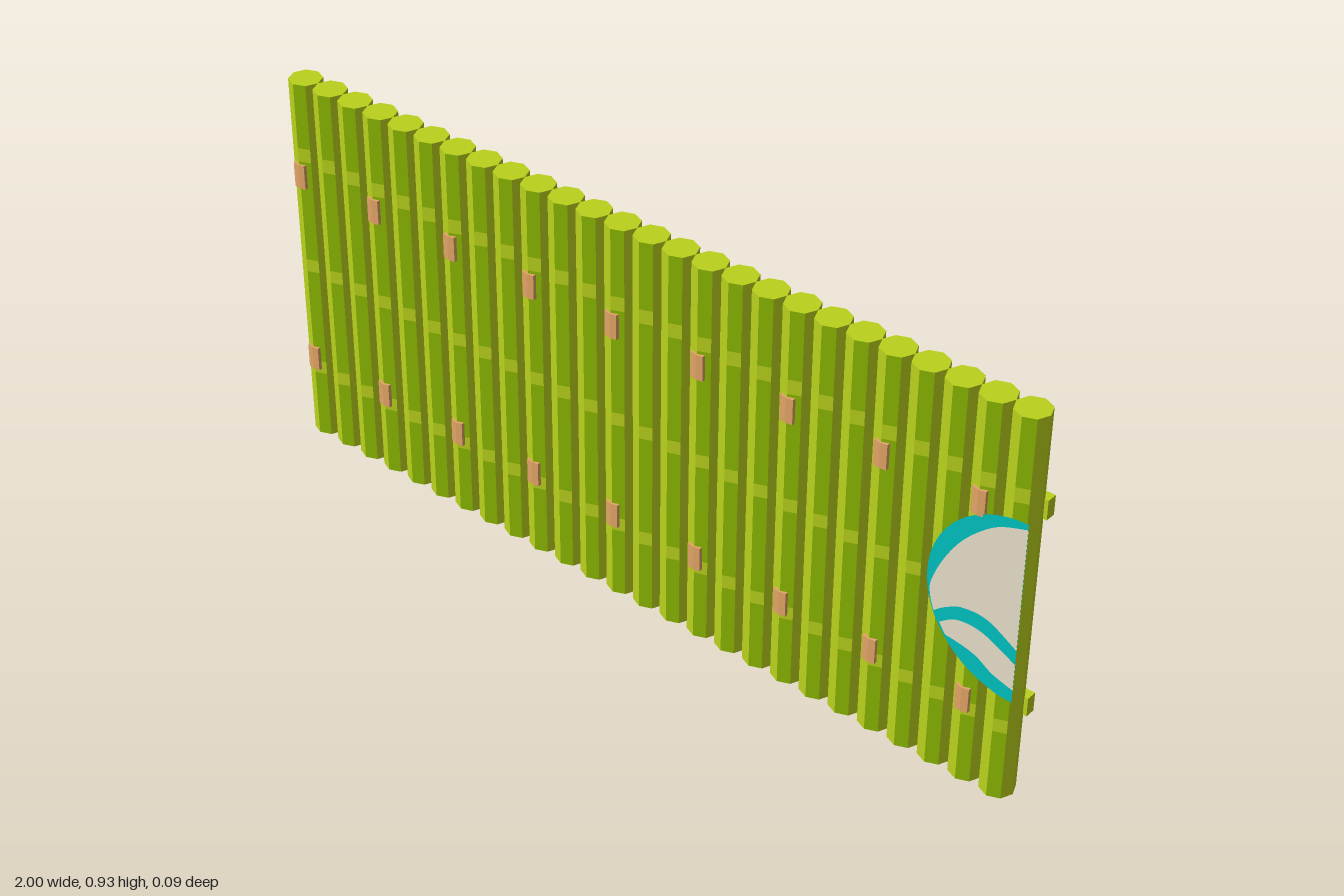
import * as THREE from 'three';

const mat = (name, color, extra = {}) => {
  const m = new THREE.MeshStandardMaterial({ color, ...extra });
  m.name = name;
  return m;
};

const HEIGHT = 0.932, RADIUS = 0.0385, COUNT = 26;
const PITCH = (2 - 2 * RADIUS) / (COUNT - 1);
const poleX = i => -1 + RADIUS + i * PITCH;

// Eight-sided cane: some facets green, crossed by pale joint bands
function caneGeometry() {
  const levels = [HEIGHT, 0.772, 0.738, 0.482, 0.45, 0.205, 0.172, 0];
  const rows = levels.length - 1;
  const base = new THREE.CylinderGeometry(RADIUS, RADIUS, HEIGHT, 8, rows);
  const p = base.attributes.position;
  for (let i = 0; i < p.count; i++) {
    const row = Math.round((0.5 - p.getY(i) / HEIGHT) * rows);
    p.setY(i, levels[row]);
  }
  const geo = base.toNonIndexed();
  geo.computeVertexNormals();
  geo.clearGroups();
  const greenFacets = [0, 3];
  for (let f = 0; f < 8; f++) {
    if (!greenFacets.includes(f)) {
      geo.addGroup(f * rows * 6, rows * 6, 0);
      continue;
    }
    for (let r = 0; r < rows; r++) geo.addGroup((f * rows + r) * 6, 6, r % 2 ? 0 : 1);
  }
  const side = 8 * rows * 6;
  geo.addGroup(side, geo.attributes.position.count - side, 0);
  return geo;
}

// Binding: a strap with a slightly pointed front that follows the cane
function tieGeometry() {
  const w = 0.016;
  const s = new THREE.Shape([[-w, 0.039], [-w, -0.048], [w, -0.048], [w, 0.039], [0, 0.042]]
    .map(([x, z]) => new THREE.Vector2(x, -z)));
  const geo = new THREE.ExtrudeGeometry(s, { depth: 0.06, bevelEnabled: false });
  geo.rotateX(-Math.PI / 2);
  return geo;
}

export function createModel() {
  const group = new THREE.Group();
  const pale = mat('paleCane', 0xbad21c);
  const green = mat('greenCane', 0x8ab800);
  const twine = mat('twine', 0xe2a466);
  const cream = mat('creamPaint', 0xe6dec8, { side: THREE.DoubleSide });
  const teal = mat('tealPaint', 0x00bebe, { side: THREE.DoubleSide });

  const add = (name, geo, material, x = 0, y = 0, z = 0) => {
    const m = new THREE.Mesh(geo, material);
    m.name = name;
    m.position.set(x, y, z);
    group.add(m);
  };

  // Upright canes
  const cane = caneGeometry();
  for (let i = 0; i < COUNT; i++) add('cane', cane, [pale, green], poleX(i), 0, -0.001);

  // Back rails in pale and green lengths, with ties on every third cane
  const tie = tieGeometry();
  const cuts = [-1, -0.9, -0.5, -0.05, 0.18, 1];
  for (const y of [0.215, 0.702]) {
    for (let i = 0; i < cuts.length - 1; i++) {
      const len = cuts[i + 1] - cuts[i];
      add('backRail', new THREE.BoxGeometry(len, 0.046, 0.024), i % 2 ? green : pale,
        (cuts[i] + cuts[i + 1]) / 2, y, -0.0345);
    }
    for (let i = 0; i < COUNT; i += 3) add('tie', tie, twine, poleX(i), y - 0.031, 0);
  }

  // Painted half disc at the left end
  const disc = new THREE.CircleGeometry(0.218, 32, Math.PI / 2, Math.PI);
  add('paintedHalfDisc', disc, teal, 1, 0.486, 0.0395);
  const patch = (name, start, curves) => {
    const s = new THREE.Shape();
    s.moveTo(...start);
    for (const c of curves) s.splineThru(c.map(([x, y]) => new THREE.Vector2(x, y)));
    s.closePath();
    // one copy for the front of the disc, one for its back
    for (const z of [0.0403, 0.0387]) add(name, new THREE.ShapeGeometry(s, 8), cream, 0, 0, z);
  };
  patch('upperCreamPatch', [1, 0.692], [
    [[0.93, 0.664], [0.865, 0.605], [0.82, 0.535], [0.793, 0.465], [0.794, 0.428], [0.804, 0.397]],
    [[0.83, 0.418], [0.87, 0.438], [0.93, 0.438], [1, 0.4]],
  ]);
  patch('lowerCreamWave', [0.819, 0.376], [
    [[0.86, 0.402], [0.92, 0.402], [1, 0.365]],
    [[1, 0.335], [1, 0.3]],
    [[0.95, 0.315], [0.91, 0.338], [0.87, 0.348], [0.835, 0.352]],
  ]);

  return group;
}
